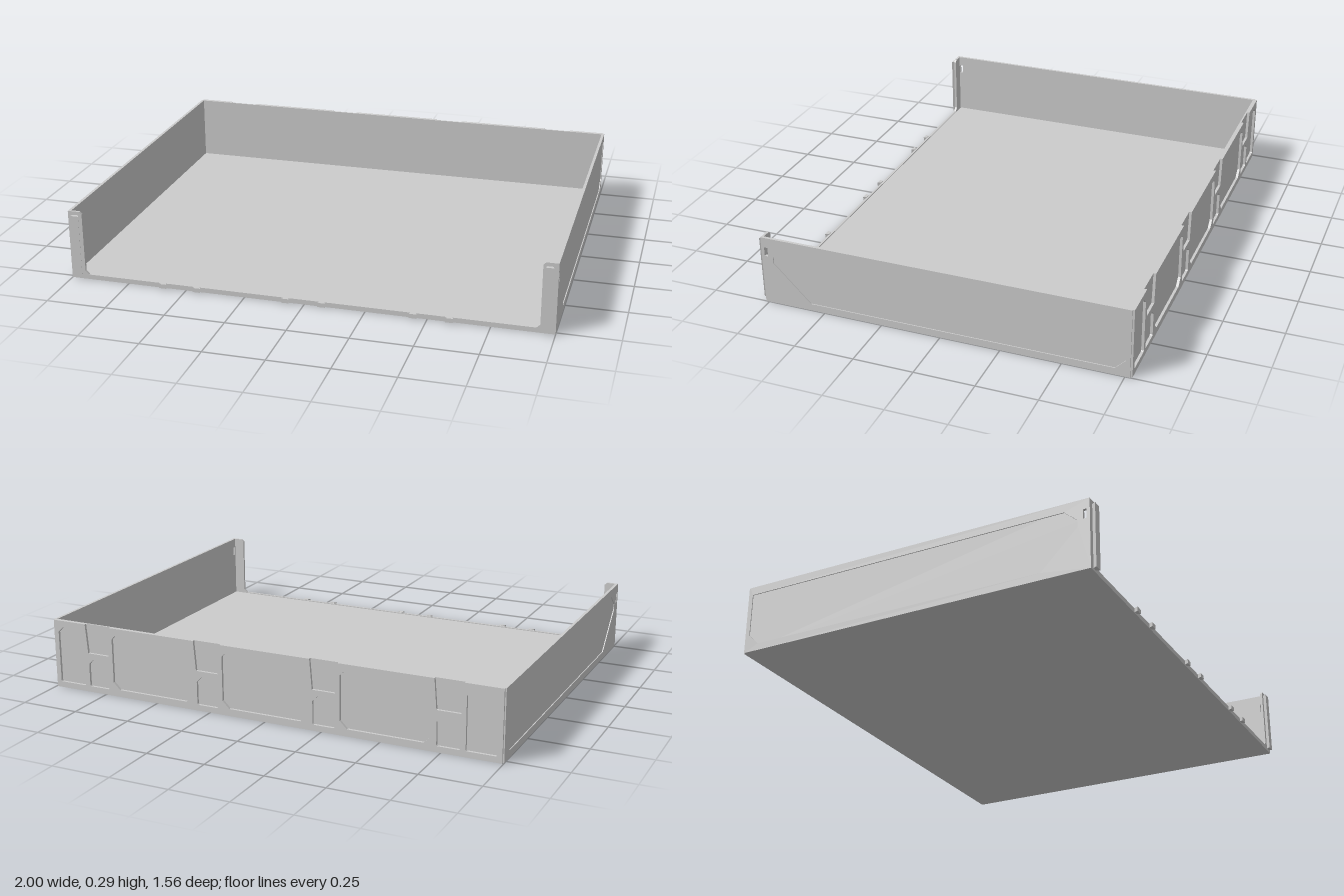
import * as THREE from 'three';

const grey = new THREE.MeshStandardMaterial({ color: 0xcccccc, flatShading: true });
const H = 0.295, FRONT = 0.765, BACK = -0.778;

function add(parent, name, geometry) {
  const mesh = new THREE.Mesh(geometry, grey);
  mesh.name = name;
  parent.add(mesh);
  return mesh;
}

const vecs = pts => pts.map(([a, b]) => new THREE.Vector2(a, b));

function plate(outline, holes, depth) {
  const shape = new THREE.Shape(vecs(outline));
  holes.forEach(h => shape.holes.push(new THREE.Path(vecs(h))));
  return new THREE.ExtrudeGeometry(shape, { depth, bevelEnabled: false });
}

const rect = (x0, x1, y0, y1) => [[x0, y0], [x1, y0], [x1, y1], [x0, y1]];

// Pocket outline with separate corner cuts at the bottom and the top
function pocket(cx, w, y0, y1, low, high) {
  const a = cx - w, b = cx + w;
  return [[a + low, y0], [b - low, y0], [b, y0 + low], [b, y1 - high],
    [b - high, y1], [a + high, y1], [a, y1 - high], [a, y0 + low]];
}

// Dovetail bar standing upright on the front face, wider at its outer side
function dovetail(cx, w, y0, y1) {
  const g = plate([[cx - w * 0.6, -FRONT], [cx - w, -0.78], [cx + w, -0.78], [cx + w * 0.6, -FRONT]], [], y1 - y0);
  return g.rotateX(-Math.PI / 2).translate(0, y0, 0);
}

export function createModel() {
  const tray = new THREE.Group();
  tray.name = 'tray';

  // Floor
  add(tray, 'floor', new THREE.BoxGeometry(1.99, 0.016, 1.53).translate(0, 0.008, 0));

  // Side walls: an outer frame around a shallow panel, with a small slot near the front
  const slot = rect(0.737, 0.752, 0.213, 0.252);
  const panel = [[0.66, 0.26], [-0.755, 0.26], [-0.755, 0.075], [-0.71, 0.03],
    [0.56, 0.03], [0.715, 0.185], [0.715, 0.212]];
  const outline = rect(-0.77, FRONT, 0, H);
  for (const side of [1, -1]) {
    const wall = new THREE.Group();
    wall.name = side > 0 ? 'leftWall' : 'rightWall';
    tray.add(wall);
    const frame = plate(outline, [panel, slot], 0.004).rotateY(-Math.PI / 2);
    add(wall, 'sideFrame', frame.translate(side > 0 ? 1 : -0.996, 0, 0));
    const sheet = plate(outline, [slot], 0.008).rotateY(-Math.PI / 2);
    add(wall, 'sidePanel', sheet.translate(side > 0 ? 0.996 : -0.988, 0, 0));
  }

  // Front rim: low lip with an upright flange at each end
  const rim = [[-1, 0], [1, 0], [1, H], [0.95, H], [0.94, 0.285], [0.94, 0.035], [0.925, 0.02],
    [-0.925, 0.02], [-0.94, 0.035], [-0.94, 0.285], [-0.95, H], [-1, H]];
  add(tray, 'frontRim', plate(rim, [], 0.01).translate(0, 0, FRONT - 0.01));

  // Connecting posts and small pegs on the front
  for (const x of [-0.967, 0.967]) add(tray, 'frontPost', dovetail(x, 0.018, 0.01, 0.28));
  for (const x of [-0.595, -0.45, -0.075, 0.075, 0.445, 0.59]) {
    add(tray, 'frontPeg', dovetail(x, 0.016, 0.004, 0.022));
  }

  // Back wall: inner sheet
  add(tray, 'backSheet', plate(rect(-0.998, 0.998, 0, H), [], 0.007).translate(0, 0, -0.767));

  // Back wall: ribbed frame with closed pockets and notches open at the top
  const notches = [0.78, 0.26, -0.26, -0.78];
  const top = notches.flatMap(x => [[x + 0.06, H], [x + 0.05, 0.17], [x - 0.05, 0.17], [x - 0.06, H]]);
  const holes = [
    ...[-0.52, 0, 0.52].map(x => pocket(x, 0.19, 0.03, 0.262, 0.03, 0.015)),
    ...notches.map(x => pocket(x, 0.048, 0.025, 0.145, 0.004, 0.022)),
    ...[-0.912, 0.912].map(x => pocket(x, 0.062, 0.025, 0.27, 0.004, 0.025)),
  ];
  const ribs = [[-0.995, 0], [0.995, 0], [0.995, H], ...top, [-0.995, H]];
  add(tray, 'backRibs', plate(ribs, holes, 0.012).translate(0, 0, BACK));

  return tray;
}
